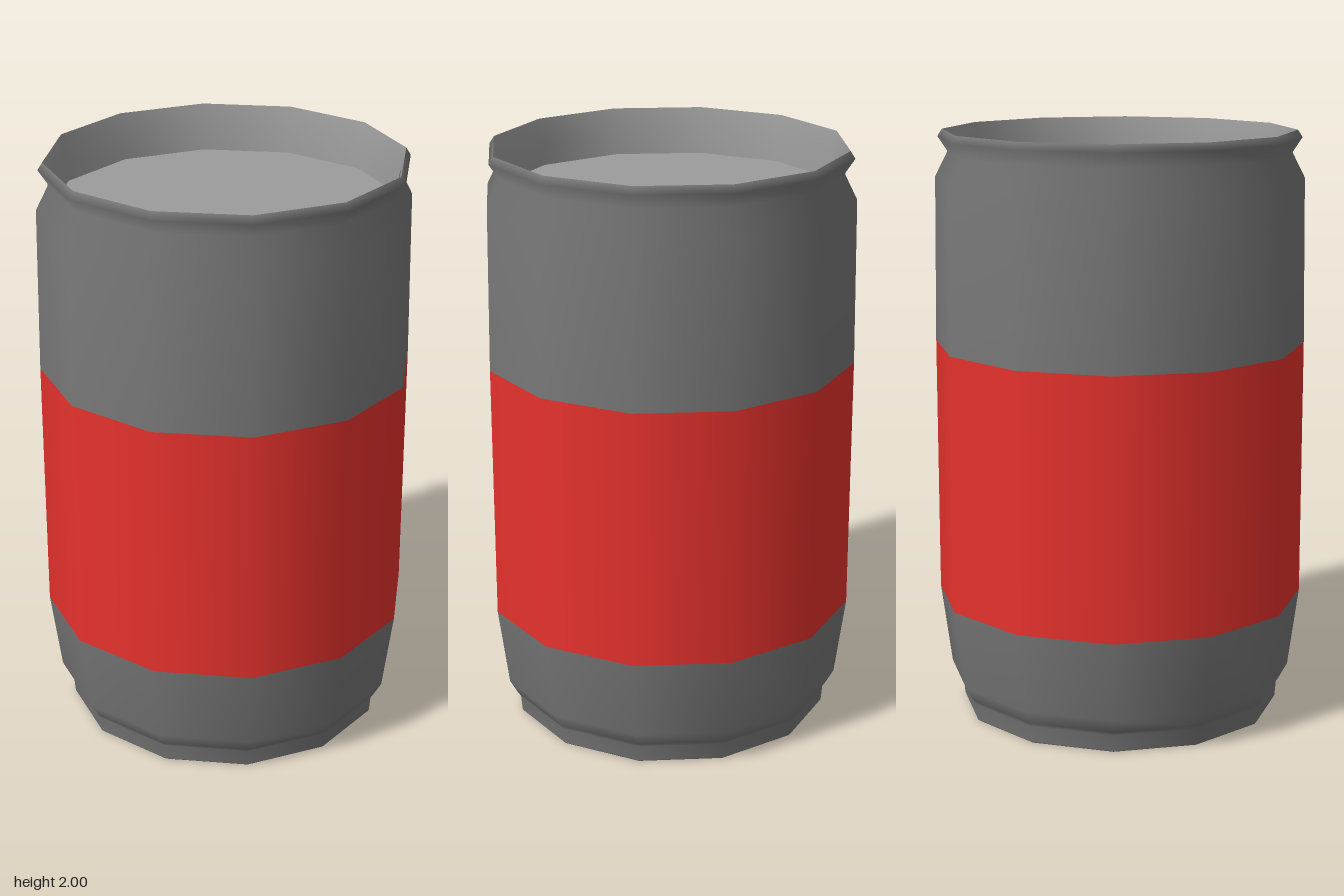
import * as THREE from 'three';

const SIDES = 12;

export function createModel() {
  const group = new THREE.Group();
  group.name = 'can';
  const panelMetal = new THREE.MeshStandardMaterial({ color: 0x9c9c9c });
  const wallMetal = new THREE.MeshStandardMaterial({ color: 0x787878 });
  const red = new THREE.MeshStandardMaterial({ color: 0xe7322d });

  // Turned part from [radius, height] pairs, smooth along its profile
  const turn = (name, material, profile) => {
    const points = profile.map(([r, y]) => new THREE.Vector2(r, y));
    const mesh = new THREE.Mesh(new THREE.LatheGeometry(points, SIDES), material);
    mesh.name = name;
    group.add(mesh);
  };

  // Recessed base inside its standing ring
  turn('basePanel', panelMetal, [[0, 0.12], [0.53, 0.12]]);
  turn('baseRecess', wallMetal, [[0.53, 0.12], [0.545, 0]]);

  // Tapered foot with standing ring, coloured band, shoulder with flared rim
  turn('lowerBody', wallMetal, [
    [0.545, 0], [0.55, 0.005], [0.555, 0.06], [0.565, 0.075], [0.593, 0.125], [0.63, 0.4],
  ]);
  turn('labelBand', red, [[0.63, 0.4], [0.63, 1.28]]);
  turn('upperBody', wallMetal, [
    [0.63, 1.28], [0.623, 1.84], [0.58, 1.925], [0.613, 1.975], [0.597, 2],
  ]);

  // Sloped inner lip, straight wall and sunken lid
  turn('rimInside', panelMetal, [[0.597, 2], [0.582, 1.93], [0.575, 1.84]]);
  turn('lid', panelMetal, [[0.575, 1.84], [0, 1.84]]);

  return group;
}
